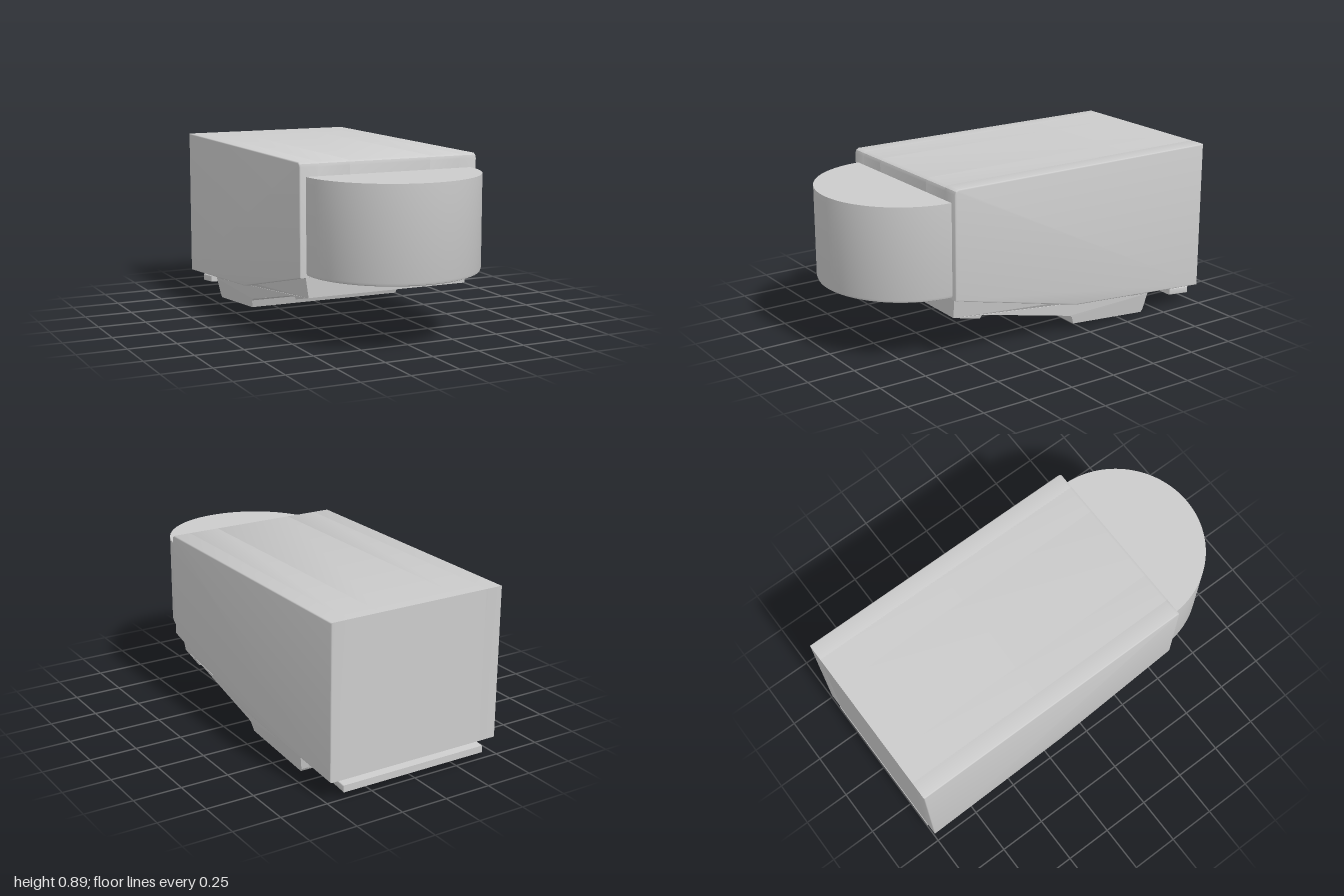
import * as THREE from 'three';
import { toCreasedNormals } from 'three/addons/utils/BufferGeometryUtils.js';
import { RoundedBoxGeometry } from 'three/addons/geometries/RoundedBoxGeometry.js';

const material = new THREE.MeshStandardMaterial({ color: 0xcccccc });

// Height of the housing's underside at a given z
const underside = (z) => (z < -0.17
  ? THREE.MathUtils.mapLinear(z, -1, -0.17, 0.105, 0.165)
  : THREE.MathUtils.mapLinear(z, -0.17, 0.56, 0.165, 0.338));

// Side profile of [z, y] points extruded from x0 to x1
function slab(profile, x0, x1, bevel = 0) {
  const shape = new THREE.Shape(profile.map(([z, y]) => new THREE.Vector2(z, y)));
  const geometry = new THREE.ExtrudeGeometry(shape, {
    depth: x1 - x0 - 2 * bevel, bevelEnabled: bevel > 0,
    bevelSize: bevel, bevelThickness: bevel, bevelOffset: -bevel, bevelSegments: 3,
  });
  geometry.rotateY(-Math.PI / 2).translate(x1 - bevel, 0, 0);
  return toCreasedNormals(geometry, 0.6);
}

export function createModel() {
  const model = new THREE.Group();
  model.name = 'housingAssembly';
  const add = (name, geometry, parent = model) => {
    const mesh = new THREE.Mesh(geometry, material);
    mesh.name = name;
    parent.add(mesh);
    return mesh;
  };

  // Main housing: side walls plus a core with a deep pocket underneath
  const upper = [[0.56, 0.338], [0.56, 0.87], [0.555, 0.886], [0.54, 0.895], [-1, 0.895]];
  const pocket = [[-0.17, 0.165], [-0.15, 0.17], [-0.15, 0.39], [0.36, 0.39], [0.37, underside(0.37)]];
  const slot = [[-0.88, underside(-0.88)], [-0.88, 0.16], [-0.74, 0.16], [-0.74, underside(-0.74)]];
  const full = [[-1, 0.105], [-0.17, 0.165], ...upper];
  const hollow = [[-1, 0.105], ...pocket, ...upper];
  const slotted = [[-1, 0.105], ...slot, ...pocket, ...upper];

  const housing = new THREE.Group();
  housing.name = 'housing';
  model.add(housing);
  add('leftWall', slab(full, 0.38, 0.483, 0.007), housing);
  add('rightWall', slab(full, -0.483, -0.38, 0.007), housing);
  add('leftCore', slab(hollow, 0.22, 0.39), housing);
  add('rightCore', slab(hollow, -0.39, -0.22), housing);
  add('slottedCore', slab(slotted, -0.22, 0.22), housing);

  // Half-round nose with a rimmed, recessed bottom
  const nosePoints = [[0, 0.37], [0.415, 0.37], [0.415, 0.345], [0.435, 0.345], [0.446, 0.35],
    [0.45, 0.362], [0.45, 0.825], [0, 0.825]].map(([r, y]) => new THREE.Vector2(r, y));
  const nose = new THREE.LatheGeometry(nosePoints, 64, -Math.PI / 2, Math.PI);
  add('nose', toCreasedNormals(nose, 0.6)).position.z = 0.55;

  // Underside tray: tapered side rails
  const tray = new THREE.Group();
  tray.name = 'undersideTray';
  model.add(tray);
  const rail = [[0.55, 0.345], [0.545, 0.235], [0.39, 0.198], [0.38, 0.217], [-0.165, 0.092],
    [-0.18, 0.08], [-0.195, 0.04], [-0.65, 0.005], [-0.66, 0.02], [-0.677, 0.11], [-0.677, 0.14],
    [-0.17, 0.18]];
  for (const side of [-1, 1]) {
    const geometry = side > 0 ? slab(rail, 0.38, 0.45) : slab(rail, -0.45, -0.38);
    const p = geometry.attributes.position;
    for (let i = 0; i < p.count; i++) {
      if (Math.abs(p.getX(i)) < 0.42) continue;
      const depth = Math.max(0, underside(p.getZ(i)) - p.getY(i));
      p.setX(i, p.getX(i) - side * 0.18 * depth);
    }
    geometry.computeVertexNormals();
    add(side > 0 ? 'leftRail' : 'rightRail', geometry, tray);
  }

  // Front lip with a shallow slot, rear block with a shallow inset panel
  add('frontLip', slab([[0.55, 0.345], [0.545, 0.235], [0.525, 0.2303], [0.525, 0.247],
    [0.405, 0.219], [0.405, 0.2016], [0.39, 0.198], [0.38, 0.217], [0.36, 0.385]], -0.39, 0.39), tray);
  add('rearBlock', slab([[-0.15, 0.2], [-0.15, 0.094], [-0.165, 0.09], [-0.18, 0.08], [-0.195, 0.04],
    [-0.225, 0.0377], [-0.225, 0.054], [-0.625, 0.022], [-0.625, 0.0069], [-0.65, 0.005],
    [-0.66, 0.02], [-0.677, 0.11], [-0.677, 0.14]], -0.39, 0.39), tray);

  // Row of square buttons on the pocket's rear wall
  for (let i = -2; i <= 2; i++) {
    const button = new THREE.Group();
    button.name = 'button';
    button.position.set(i * 0.1495 - 0.007, 0.16, -0.148);
    add('buttonFrame', new RoundedBoxGeometry(0.092, 0.068, 0.024, 2, 0.006), button);
    add('buttonCap', new RoundedBoxGeometry(0.07, 0.054, 0.04, 2, 0.006), button);
    model.add(button);
  }

  // Thin latch bar under the rear edge
  add('rearLatchBar', slab([[-1, 0.038], [-0.87, 0.05], [-0.87, 0.086], [-1, 0.074]], -0.41, 0.41, 0.005));

  return model;
}
